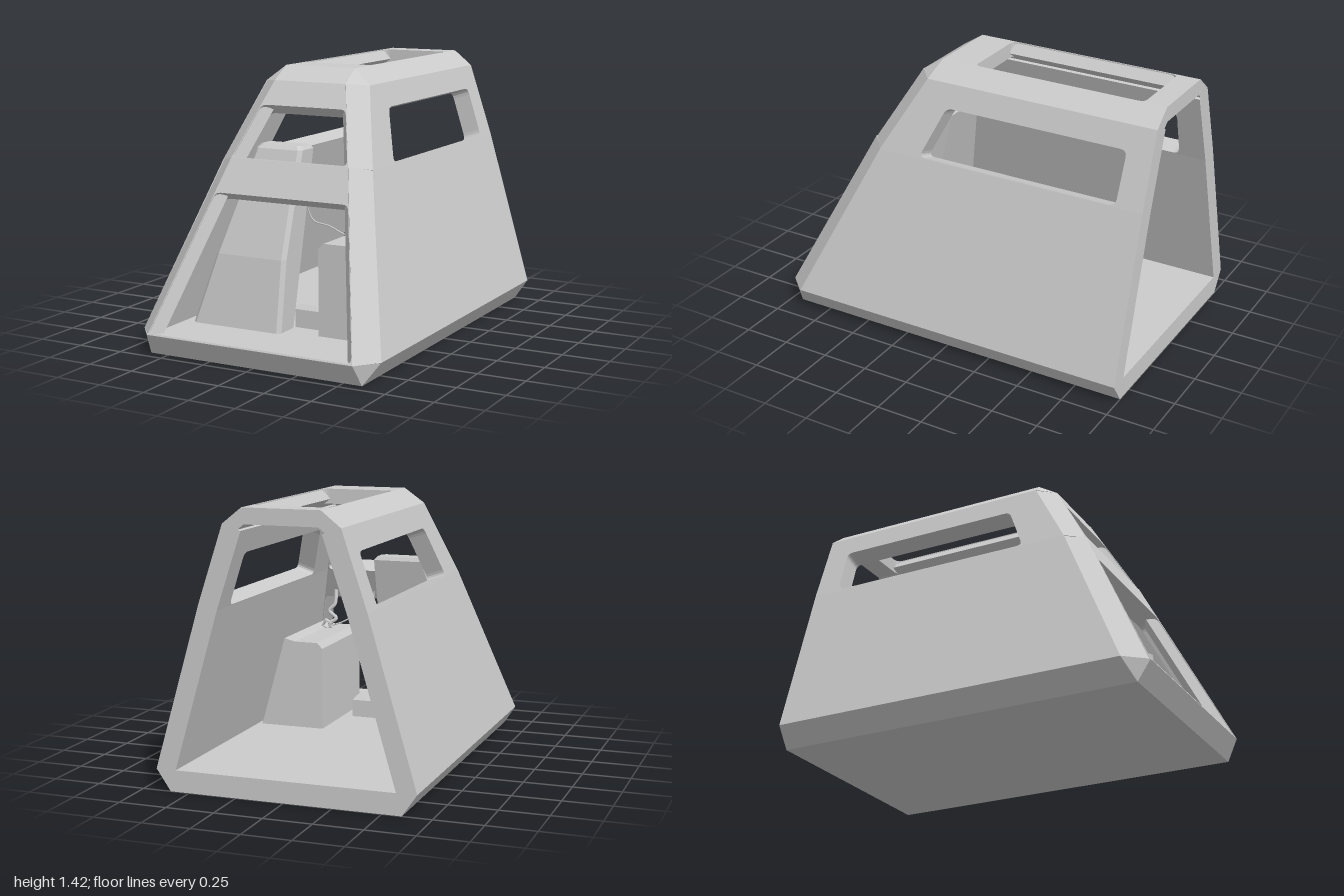
import * as THREE from 'three';
import { ConvexGeometry } from 'three/addons/geometries/ConvexGeometry.js';

const V = (p) => new THREE.Vector3(...p);
const flip = (p) => [-p[0], p[1], p[2]];
const mirrored = (pts) => pts.map(flip).reverse();
const lerp = (a, b, t) => a.map((v, i) => v + (b[i] - v) * t);

export function createModel() {
  const group = new THREE.Group();
  const flat = new THREE.MeshStandardMaterial({ color: 0xcccccc, flatShading: true });
  const smooth = new THREE.MeshStandardMaterial({ color: 0xcccccc });

  function add(name, geometry, material = flat) {
    const mesh = new THREE.Mesh(geometry, material);
    mesh.name = name;
    group.add(mesh);
    return mesh;
  }

  // Trace a polygon with rounded corners
  function roundedPath(pts, r) {
    const path = new THREE.Path();
    pts.forEach((p, i) => {
      const prev = pts[(i + pts.length - 1) % pts.length];
      const next = pts[(i + 1) % pts.length];
      const a = p.clone().add(prev.clone().sub(p).setLength(r));
      const b = p.clone().add(next.clone().sub(p).setLength(r));
      if (i === 0) path.moveTo(a.x, a.y); else path.lineTo(a.x, a.y);
      path.quadraticCurveTo(p.x, p.y, b.x, b.y);
    });
    path.closePath();
    return path;
  }

  // Flat wall panel, thickened inward; corners run counter-clockwise from outside
  function panel(name, corners, thickness, hole, radius = 0.035) {
    const pts = corners.map(V);
    const o = pts[0];
    const u = pts[1].clone().sub(o).normalize();
    const n = pts.length === 4
      ? pts[2].clone().sub(o).cross(pts[3].clone().sub(pts[1])).normalize()
      : pts[1].clone().sub(o).cross(pts[2].clone().sub(o)).normalize();
    const v = n.clone().cross(u).normalize();
    u.crossVectors(v, n);
    const to2D = (p) => {
      const d = p.clone().sub(o);
      return new THREE.Vector2(d.dot(u), d.dot(v));
    };
    const shape = new THREE.Shape(pts.map(to2D));
    if (hole) shape.holes.push(roundedPath(hole.map((p) => to2D(V(p))), radius));
    const geo = new THREE.ExtrudeGeometry(shape, { depth: thickness, bevelEnabled: false, curveSegments: 4 });
    geo.translate(0, 0, -thickness);
    geo.applyMatrix4(new THREE.Matrix4().makeBasis(u, v, n).setPosition(o));
    return add(name, geo);
  }

  function panelPair(name, corners, thickness, hole) {
    panel('left' + name, corners, thickness, hole);
    panel('right' + name, mirrored(corners), thickness, hole && mirrored(hole));
  }

  const convex = (name, pts) => add(name, new ConvexGeometry(pts.map(V)));

  // Key corners of the hull on the +x side: front edge (f), side edge (s), back edge (b)
  const f = [[0.58, 0.11, 1], [0.335, 0.97, 0.58], [0.205, 1.35, 0.36]];
  const s = [[0.675, 0.11, 0.89], [0.43, 0.95, 0.5], [0.3, 1.34, 0.28]];
  const b = s.map(([x, y]) => [x, y, -1]);
  const roofFront = [0.2, 1.42, 0.25], roofBack = [0.2, 1.42, -1];

  // Floor slab with undercut edges
  const floorHalf = [[0.6, 0, 0.94], [0.6, 0, -1], s[0], f[0], b[0]];
  convex('floor', [...floorHalf, ...floorHalf.map(flip)]);

  // Side walls; the upper ones carry the long windows
  const sideX = (y) => 0.43 - (y - 0.95) / 3;
  const sideWindow = [[0.262, 0.957], [-0.855, 0.957], [-0.865, 1.22], [0.145, 1.22]]
    .map(([z, y]) => [sideX(y), y, z]);
  panelPair('LowerWall', [s[0], b[0], b[1], s[1]], 0.1);
  panelPair('UpperWall', [s[1], b[1], b[2], s[2]], 0.1, sideWindow);

  // Corner pillars and roof edges
  for (let i = 0; i < 2; i++) {
    panelPair(i ? 'UpperPillar' : 'LowerPillar', [f[i], s[i], s[i + 1], f[i + 1]], 0.07);
  }
  panelPair('RoofEdge', [s[2], b[2], roofBack, roofFront], 0.07);
  panelPair('RoofCorner', [f[2], s[2], roofFront], 0.06);

  // Front frames with their window openings
  function frontFrame(name, i, y0, y1) {
    const at = (y) => {
      const p = lerp(f[i], f[i + 1], (y - f[i][1]) / (f[i + 1][1] - f[i][1]));
      return [p[0] - 0.004, p[1], p[2]];
    };
    const lo = at(y0), hi = at(y1);
    panel(name, [flip(f[i]), f[i], f[i + 1], flip(f[i + 1])], 0.105, [flip(lo), lo, hi, flip(hi)], 0.03);
  }
  frontFrame('lowerFrontFrame', 0, 0.118, 0.8);
  frontFrame('upperFrontFrame', 1, 0.974, 1.23);

  // Roof with hatch opening and sloped brow
  panel('roof', [flip(roofFront), roofFront, roofBack, flip(roofBack)], 0.08,
    [[-0.195, 1.42, 0.06], [0.195, 1.42, 0.06], [0.195, 1.42, -0.88], [-0.195, 1.42, -0.88]]);
  panel('brow', [flip(f[2]), f[2], roofFront, flip(roofFront)], 0.08);

  // Tall leaning cabinet: rows of [y, front z, back z, left x, right x]
  const cabinetRows = [
    [0.11, 0.68, 0.54, -0.52, 0], [0.475, 0.625, 0.453, -0.41, 0],
    [1.01, 0.455, 0.325, -0.27, 0], [1.03, 0.435, 0.335, -0.25, -0.015],
  ];
  convex('cabinet', cabinetRows.flatMap(([y, zf, zb, x0, x1]) => [
    [x0, y, zf - 0.02], [x0 + 0.02, y, zf], [x1 - 0.02, y, zf], [x1, y, zf - 0.02],
    [x0, y, zb], [x1, y, zb]]));

  // Small box with a chamfered top
  convex('smallBox', [[0.11, 0], [0.205, 0], [0.23, 0.02]].flatMap(([y, c]) => [
    [0, y, 0.52 - c], [0.135 - c, y, 0.52 - c], [0, y, 0.35 + c], [0.135 - c, y, 0.35 + c]]));

  // Side console, cut to the slope of the wall
  const consoleShape = new THREE.Shape([
    [0.19, 0.1], [0.55, 0.1], [0.535, 0.15], [0.41, 0.6], [0.35, 0.585], [0.22, 0.585], [0.19, 0.555],
  ].map(([x, y]) => new THREE.Vector2(x, y)));
  const consoleGeo = new THREE.ExtrudeGeometry(consoleShape, { depth: 0.6, bevelEnabled: false });
  consoleGeo.translate(0, 0, 0.02);
  add('console', consoleGeo);

  // Handset cradle: a small open frame tilted on the console
  const cradle = new THREE.Group();
  cradle.name = 'cradle';
  const bars = [[0, 0.018, 0.05, 0.008], [0, -0.018, 0.05, 0.008], [0.021, 0, 0.008, 0.036], [-0.021, 0, 0.008, 0.036]];
  for (const [x, y, w, h] of bars) {
    const bar = new THREE.Mesh(new THREE.BoxGeometry(w, h, 0.03), flat);
    bar.name = 'cradleBar';
    bar.position.set(x, y, 0);
    cradle.add(bar);
  }
  cradle.position.set(0.335, 0.605, 0.48);
  cradle.rotation.z = 0.45;
  group.add(cradle);

  // Hose and cable hanging behind the front band
  const tube = (name, pts, r) => add(name,
    new THREE.TubeGeometry(new THREE.CatmullRomCurve3(pts.map(V)), 40, r, 8), smooth);
  tube('hose', [[0.3, 0.8, 0.53], [0.3, 0.72, 0.51], [0.33, 0.68, 0.5], [0.285, 0.64, 0.49],
    [0.32, 0.61, 0.48], [0.3, 0.58, 0.48]], 0.011);
  tube('cable', [[0.07, 0.8, 0.53], [0.075, 0.72, 0.51], [0.1, 0.67, 0.5], [0.19, 0.65, 0.5],
    [0.25, 0.62, 0.49], [0.32, 0.595, 0.48]], 0.004);

  return group;
}
